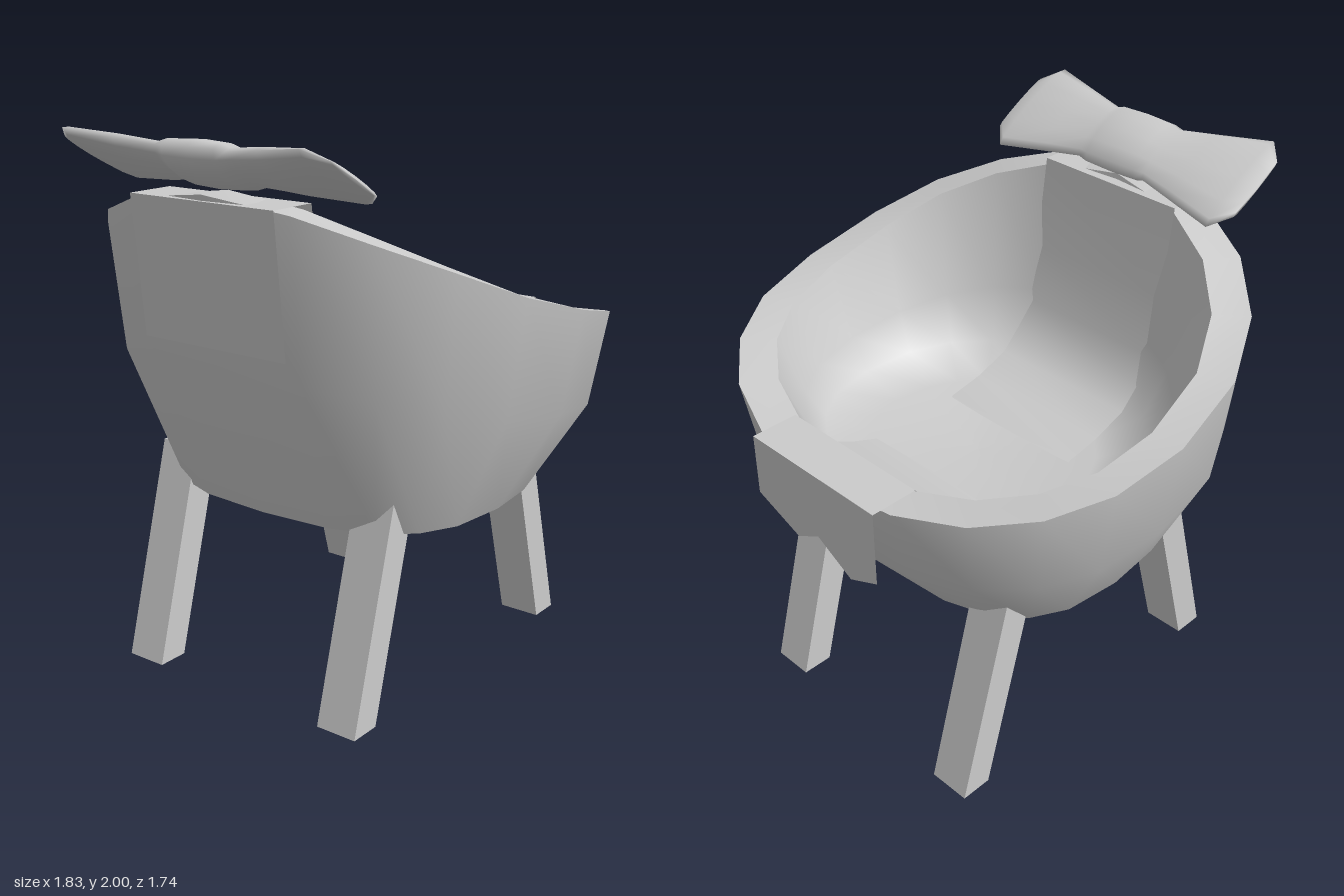
import * as THREE from 'three';

const SIDES = 20;
const grey = new THREE.MeshStandardMaterial({ color: 0xcccccc });
const greyThin = new THREE.MeshStandardMaterial({ color: 0xcccccc, side: THREE.DoubleSide });

function mesh(name, geometry, material = grey) {
  const m = new THREE.Mesh(geometry, material);
  m.name = name;
  return m;
}

// Skin a list of closed rings, each an array of [x, y, z]
function loft(rings) {
  const n = rings[0].length, index = [];
  for (let r = 0; r < rings.length - 1; r++) {
    for (let i = 0; i < n; i++) {
      const a = r * n + i, b = r * n + (i + 1) % n;
      index.push(a, b, a + n, b, b + n, a + n);
    }
  }
  const g = new THREE.BufferGeometry();
  g.setAttribute('position', new THREE.Float32BufferAttribute(rings.flat(2), 3));
  g.setIndex(index);
  g.computeVertexNormals();
  return g;
}

// Rim height by angle step, from the high front end to the low back end
const rimHeights = [1.81, 1.77, 1.69, 1.6, 1.5, 1.41, 1.35, 1.3, 1.255, 1.22, 1.2];

// Squarish oval ring; front and back have their own depth about centre cz, a lower power is squarer
function oval(rx, front, back, cz, height, power = 0.87) {
  return Array.from({ length: SIDES }, (_, i) => {
    const a = i / SIDES * Math.PI * 2, c = Math.cos(a), s = Math.sin(a);
    const sq = v => Math.sign(v) * Math.abs(v) ** power;
    const step = Math.round(Math.abs(Math.asin(s) - Math.PI / 2) / (Math.PI / 10));
    return [rx * sq(c), height(rimHeights[step]), cz + (s > 0 ? front : back) * sq(s)];
  });
}

// Strip of cloth across x, following [z, y] points
function ribbon(points, half, smooth) {
  const pos = [], index = [];
  points.forEach(([z, y], i) => {
    pos.push(-half, y, z, half, y, z);
    if (i) index.push(2 * i - 2, 2 * i - 1, 2 * i, 2 * i - 1, 2 * i + 1, 2 * i);
  });
  const g = new THREE.BufferGeometry();
  g.setAttribute('position', new THREE.Float32BufferAttribute(pos, 3));
  g.setIndex(index);
  const result = smooth ? g : g.toNonIndexed();
  result.computeVertexNormals();
  return result;
}

function makeTub() {
  const tub = new THREE.Group();
  tub.name = 'tub';
  const inner = (s, h) => oval(0.79 * s, 0.72 * s, 0.6 * s, -0.11, y => 0.95 + (y - 0.95) * h);
  const outerRim = oval(0.915, 0.85, 0.74, -0.11, y => y);
  const middle = oval(0.85, 0.78, 0.69, -0.1, y => 0.66 + (y - 0.66) * 0.5, 0.82);
  const base = (s, y) => oval(0.64 * s, 0.53 * s, 0.51 * s, -0.06, () => y, 0.72);
  tub.add(
    mesh('innerBowl', loft([inner(0.001, 0), inner(0.55, 0.02), inner(0.78, 0.13), inner(0.88, 0.4), inner(1, 1)])),
    mesh('rim', loft([inner(1, 1), outerRim])),
    mesh('outerWall', loft([outerRim, middle, base(1, 0.66)])),
    mesh('underside', loft([base(1, 0.66), base(0.86, 0.64), base(0.001, 0.64)])),
  );
  return tub;
}

function makeCloth() {
  const cloth = new THREE.Group();
  cloth.name = 'cloth';
  const strip = (name, points, smooth) => cloth.add(mesh(name, ribbon(points, 0.305, smooth), greyThin));
  // Front flap and fold over the high rim
  strip('frontFlap', [[0.7, 1.3], [0.75, 1.79], [0.565, 1.79]], false);
  // Lining down the inside, dipping under the floor and up the low end
  strip('lining', [
    [0.565, 1.79], [0.52, 1.45], [0.47, 1.23], [0.42, 1.12], [0.34, 1.04], [0.2, 0.99], [0.06, 0.965],
    [0, 0.935], [-0.28, 0.935], [-0.45, 1.0], [-0.57, 1.06],
  ], true);
  // Fold over the low rim
  strip('backFold', [[-0.57, 1.06], [-0.69, 1.235], [-0.87, 1.235]], false);
  // Back flap with a ragged hem
  const flap = new THREE.Shape([
    [-0.305, 1.235], [-0.305, 0.95], [-0.17, 0.89], [-0.01, 0.98], [0.1, 0.92], [0.305, 1.0], [0.305, 1.235],
  ].map(p => new THREE.Vector2(...p)));
  const back = mesh('backFlap', new THREE.ShapeGeometry(flap), greyThin);
  back.position.z = -0.87;
  cloth.add(back);
  return cloth;
}

function makeBow() {
  // Half the bow as lens sections: [x, half width, half thickness], tip to knot
  const half = [
    [0.56, 0, 0], [0.555, 0.13, 0.01], [0.49, 0.205, 0.028], [0.3, 0.16, 0.042],
    [0.15, 0.125, 0.04], [0.11, 0.135, 0.058],
  ];
  const sections = [...half, [0, 0.138, 0.064], ...half.map(([x, w, t]) => [-x, w, t]).reverse()];
  // Sections lie in a plane tilted up toward the front
  const k = Math.cos(0.51), s = Math.sin(0.51);
  const bow = mesh('bow', loft(sections.map(([x, w, t]) => Array.from({ length: 12 }, (_, i) => {
    const a = i / 12 * Math.PI * 2, u = w * Math.cos(a), v = t * Math.sin(a);
    return [x, s * u + k * v, k * u - s * v];
  }))));
  bow.position.set(0.01, 1.9, 0.69);
  return bow;
}

// Square leg leaning inward as it rises, with a level foot
function makeLeg(name, x, z, lean) {
  const g = new THREE.BoxGeometry(0.16, 0.8, 0.12).translate(0, 0.4, 0);
  const p = g.attributes.position;
  for (let i = 0; i < p.count; i++) p.setZ(i, p.getZ(i) + lean * p.getY(i));
  g.computeVertexNormals();
  const leg = mesh(name, g);
  leg.position.set(x, 0, z);
  return leg;
}

export function createModel() {
  const model = new THREE.Group();
  model.name = 'cradle';
  model.add(makeTub(), makeCloth(), makeBow());
  for (const [side, x] of [['Left', 0.43], ['Right', -0.468]]) {
    model.add(makeLeg('front' + side + 'Leg', x, 0.55, -0.275));
    model.add(makeLeg('back' + side + 'Leg', x, -0.67, 0.275));
  }
  return model;
}
